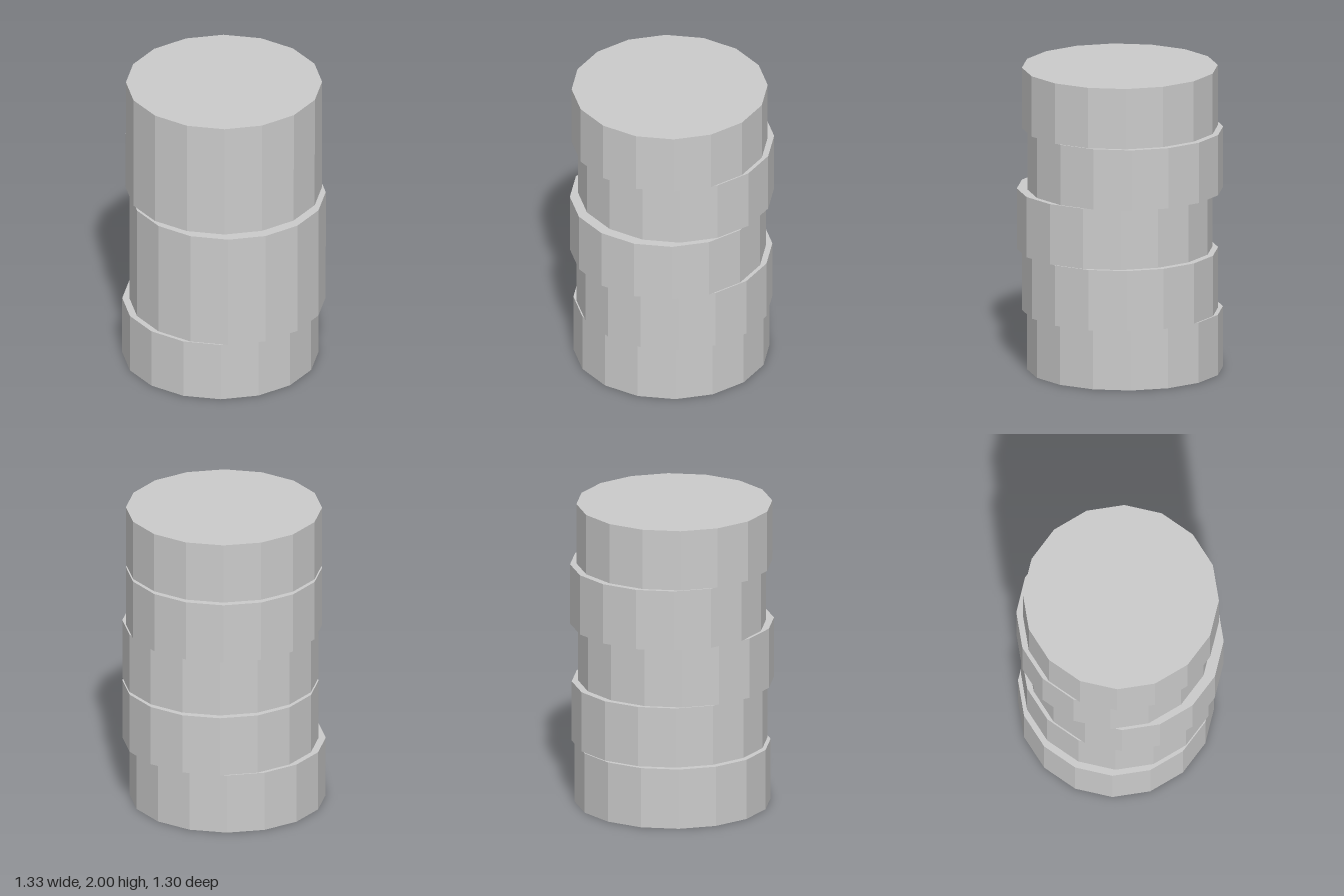
import * as THREE from 'three';

export function createModel() {
  const group = new THREE.Group();
  group.name = 'discStack';
  const material = new THREE.MeshStandardMaterial({ color: 0xcccccc, flatShading: true });

  const radius = 0.633;
  const height = 0.4;
  const disc = new THREE.CylinderGeometry(radius, radius, height, 16);

  // Sideways shift [x, z] of each disc, from bottom to top
  const shifts = [
    [-0.033, 0.016],
    [0, -0.016],
    [0.033, 0.016],
    [-0.033, -0.016],
    [0, 0.016],
  ];

  // Stacked discs, each slightly out of line with the next
  shifts.forEach(([x, z], i) => {
    const mesh = new THREE.Mesh(disc, material);
    mesh.name = `disc${i + 1}`;
    mesh.position.set(x, height * (i + 0.5), z);
    group.add(mesh);
  });

  return group;
}
